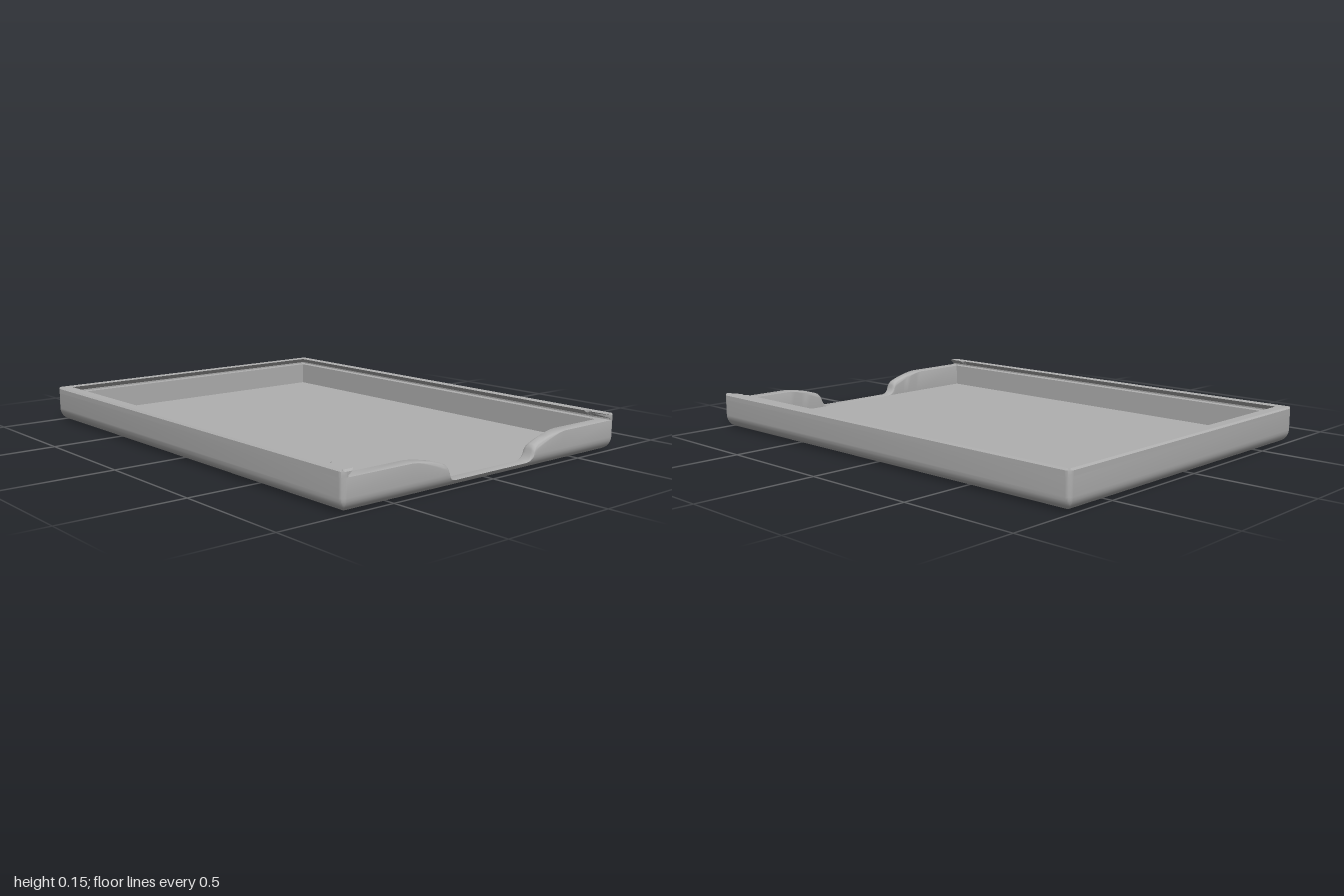
import * as THREE from 'three';
import { toCreasedNormals } from 'three/addons/utils/BufferGeometryUtils.js';

const HX = 1, HZ = 0.73;       // half length and half depth
const CORNER = 0.02;           // vertical corner radius
const ROUND = 0.055;           // rounding of the bottom edge
const WALL = 0.055;            // wall thickness
const FLOOR = 0.027, LEDGE = 0.125, TOP = 0.152;

// How far the outer face is set in at height y
const inset = y => y >= ROUND ? 0 : ROUND - Math.sqrt(ROUND ** 2 - (ROUND - y) ** 2);

// Thumb notch: [z, height, edge rounding]
const NOTCH = [
  [0.19, FLOOR, 0], [0.203, 0.03, 0.001], [0.213, 0.037, 0.005], [0.221, 0.048, 0.01],
  [0.226, 0.06, 0.016], [0.229, 0.072, 0.02], [0.233, 0.082, 0.022], [0.242, 0.091, 0.022],
  [0.26, 0.098, 0.021], [0.29, 0.107, 0.018], [0.32, 0.114, 0.014], [0.35, 0.119, 0.009],
  [0.38, 0.123, 0.004], [0.41, LEDGE, 0.001],
];

// Wall cross-section as [inset, height], from the bottom edge, over the top, to the floor
function wallProfile(h, rounding) {
  const r = Math.min(rounding, (h - FLOOR) / 2);
  const pts = [];
  for (let i = 0; i <= 7; i++) {
    const y = Math.min(ROUND * (1 - Math.cos(i / 7 * Math.PI / 2)), h - r);
    pts.push([inset(y), y]);
  }
  const d0 = inset(h - r);
  for (let i = 0; i <= 5; i++) {
    const a = i / 5 * Math.PI / 2;
    pts.push([d0 + r * (1 - Math.cos(a)), h - r + r * Math.sin(a)]);
  }
  for (let i = 0; i <= 5; i++) {
    const a = i / 5 * Math.PI / 2;
    pts.push([WALL - r * (1 - Math.sin(a)), h - r + r * Math.cos(a)]);
  }
  pts.push([WALL, FLOOR]);
  return pts;
}

// Four walls lofted around the rim, dipping at the notch on the open side
function wallGeometry() {
  const rings = [];
  const addNotch = (sign, list) => list.forEach(([z, h, r]) =>
    rings.push(wallProfile(h, r).map(([d, y]) => [HX - d, y, sign * z])));
  addNotch(-1, [...NOTCH].reverse());
  addNotch(1, NOTCH);
  [[1, 1], [-1, 1], [-1, -1], [1, -1]].forEach(([sx, sz], q) => {
    for (let i = 0; i <= 5; i++) {
      const a = (q + i / 5) * Math.PI / 2;
      rings.push(wallProfile(LEDGE, 0).map(([d, y]) => {
        const c = Math.max(d, CORNER);
        return [sx * (HX - c) + (c - d) * Math.cos(a), y, sz * (HZ - c) + (c - d) * Math.sin(a)];
      }));
    }
  });
  const n = rings[0].length, index = [];
  rings.forEach((_, i) => {
    const a = i * n, b = ((i + 1) % rings.length) * n;
    for (let j = 0; j < n - 1; j++) {
      index.push(a + j, a + j + 1, b + j, b + j, a + j + 1, b + j + 1);
    }
  });
  const geo = new THREE.BufferGeometry();
  geo.setAttribute('position', new THREE.Float32BufferAttribute(rings.flat(2), 3));
  geo.setIndex(index);
  return toCreasedNormals(geo, 0.6);
}

// U-shaped lip with an undercut groove for a sliding lid and two catch notches
function lipGeometry() {
  const ix = 0.95, iz = 0.68, c = CORNER, catchX = 0.905, catchR = 0.016;
  const s = new THREE.Shape();
  s.moveTo(HX, iz);
  s.absarc(HX - c, HZ - c, c, 0, Math.PI / 2, false);
  s.absarc(-HX + c, HZ - c, c, Math.PI / 2, Math.PI, false);
  s.absarc(-HX + c, -HZ + c, c, Math.PI, Math.PI * 1.5, false);
  s.absarc(HX - c, -HZ + c, c, Math.PI * 1.5, Math.PI * 2, false);
  s.lineTo(HX, -iz);
  s.absarc(catchX, -iz, catchR, 0, -Math.PI, true);
  s.lineTo(-ix, -iz);
  s.lineTo(-ix, iz);
  s.absarc(catchX, iz, catchR, Math.PI, 0, true);
  s.closePath();
  let geo = new THREE.ExtrudeGeometry(s, { depth: 3, steps: 3, bevelEnabled: false, curveSegments: 6 });
  geo.rotateX(-Math.PI / 2);

  // Per level: height, undercut of the inner face, bevel of the outer face
  const levels = [[LEDGE, 0.025, 0], [0.131, 0.025, 0], [0.145, 0.007, 0], [TOP, 0, 0.007]];
  const p = geo.attributes.position;
  for (let i = 0; i < p.count; i++) {
    const [y, cut, bevel] = levels[Math.round(p.getY(i))];
    let x = p.getX(i), z = p.getZ(i);
    if (x < -0.9) x = Math.min(x, -ix - cut);
    x = THREE.MathUtils.clamp(x, -HX + bevel, HX - bevel);
    z = Math.sign(z) * Math.min(Math.max(Math.abs(z), iz + cut), HZ - bevel);
    p.setXYZ(i, x, y, z);
  }
  geo.deleteAttribute('normal');
  geo.deleteAttribute('uv');
  return toCreasedNormals(geo, 0.6);
}

export function createModel() {
  const grey = new THREE.MeshStandardMaterial({ color: 0xb0b0b0 });
  grey.name = 'grey';
  const model = new THREE.Group();
  model.name = 'slidingLidTray';
  const add = (name, geo) => {
    const mesh = new THREE.Mesh(geo, grey);
    mesh.name = name;
    model.add(mesh);
    return mesh;
  };

  add('walls', wallGeometry());
  add('lidRail', lipGeometry());

  // Inside floor and underside
  const w = 2 * (HX - WALL), d = 2 * (HZ - WALL);
  add('floor', new THREE.PlaneGeometry(w, d).rotateX(-Math.PI / 2)).position.y = FLOOR;
  add('underside', new THREE.PlaneGeometry(w, d).rotateX(Math.PI / 2));
  return model;
}
